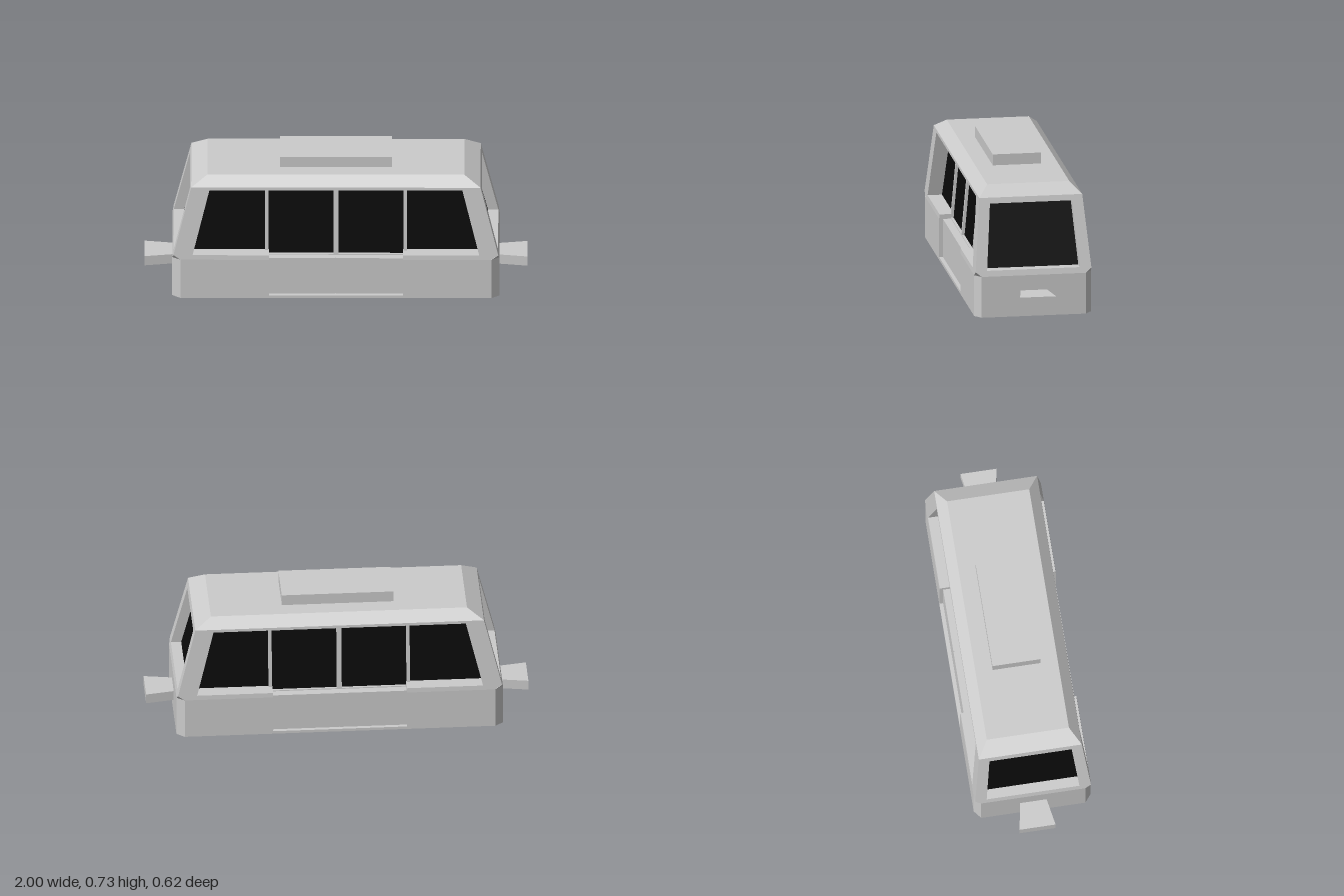
import * as THREE from 'three';
import { ConvexGeometry } from 'three/addons/geometries/ConvexGeometry.js';

const grey = new THREE.MeshStandardMaterial({ color: 0xcccccc, flatShading: true });
const black = new THREE.MeshStandardMaterial({ color: 0x0a0a0a, flatShading: true });

const SILL = 0.22, EAVE = 0.62, ROOF = 0.67;
const side = { low: 0.308, high: 0.272 }; // half width at sill and eave
const end = { low: 0.854, high: 0.755 };  // half length at sill and eave
const reach = (wall, y) => wall.low + (wall.high - wall.low) * (y - SILL) / (EAVE - SILL);

function add(parent, name, geometry, material = grey) {
  const mesh = new THREE.Mesh(geometry, material);
  mesh.name = name;
  parent.add(mesh);
  return mesh;
}

function shapeOf(points, holes = []) {
  const toVectors = (list) => list.map(([x, y]) => new THREE.Vector2(x, y));
  const shape = new THREE.Shape(toVectors(points));
  holes.forEach((h) => shape.holes.push(new THREE.Path(toVectors(h))));
  return shape;
}

// Left-right symmetric outline from its right half (listed bottom to top)
const mirrored = (half) => [...half, ...half.map(([x, y]) => [-x, y]).reverse()];

// Panel that leans with its wall, inset from the outer face and mitred against the crossing wall
function leaningPanel(shape, wall, cross, inset, depth) {
  const g = new THREE.ExtrudeGeometry(shape, { depth, bevelEnabled: false });
  const p = g.attributes.position;
  for (let i = 0; i < p.count; i++) {
    const y = p.getY(i), sunk = inset + depth - p.getZ(i);
    const limit = reach(cross, y) - sunk;
    p.setX(i, THREE.MathUtils.clamp(p.getX(i), -limit, limit));
    p.setZ(i, reach(wall, y) - sunk);
  }
  g.computeVertexNormals();
  return g;
}

// Plan outline raised from y0 to y1
function raised(points, y0, y1) {
  const g = new THREE.ExtrudeGeometry(shapeOf(points), { depth: y1 - y0, bevelEnabled: false });
  return g.rotateX(-Math.PI / 2).translate(0, y0, 0);
}

function sideWall() {
  const group = new THREE.Group();
  group.name = 'sideWall';
  // Window band, with a step down at the doors
  const wall = mirrored([[0.35, 0.22], [0.81, 0.22], [reach(end, 0.245), 0.245], [0.755, 0.62]]);
  wall.push([-0.35, 0.245], [-0.748, 0.245], [-0.66, 0.605], [0.66, 0.605], [0.748, 0.245], [0.35, 0.245]);
  add(group, 'sideWindowSurround', leaningPanel(shapeOf(wall), side, end, 0, 0.078));
  // Deep-set door window frame with two panes
  const pane = (a, b) => [[a, 0.225], [b, 0.225], [b, 0.588], [a, 0.588]];
  const frame = shapeOf(mirrored([[0.37, 0.215], [0.37, 0.61]]), [pane(0.013, 0.352), pane(-0.352, -0.013)]);
  add(group, 'doorWindowFrame', leaningPanel(frame, side, end, 0.062, 0.016));
  const glass = shapeOf(mirrored([[0.8, 0.215], [0.7, 0.62]]));
  add(group, 'sideGlass', leaningPanel(glass, side, end, 0.076, 0.006), black);
  return group;
}

function endWall() {
  const group = new THREE.Group();
  group.name = 'endWall';
  const wall = mirrored([[0.275, 0.22], [reach(side, 0.245), 0.245], [0.272, 0.62]]);
  const opening = mirrored([[0.245, 0.25], [0.217, 0.59]]);
  add(group, 'endWindowSurround', leaningPanel(shapeOf(wall, [opening]), end, side, 0, 0.055));
  const glass = shapeOf(mirrored([[0.255, 0.23], [0.228, 0.61]]));
  add(group, 'endGlass', leaningPanel(glass, end, side, 0.054, 0.006), black);
  return group;
}

export function createModel() {
  const model = new THREE.Group();
  model.name = 'railCar';

  // Lower body: chamfered corners, shallow door recess with a fine centre seam
  const corner = [[0.812, 0.308], [0.854, 0.275]];
  const recess = [[0.001, 0.282], [0.001, 0.288], [0.35, 0.288], [0.35, 0.308]];
  const ring = (quarter) => {
    const right = [...quarter, ...quarter.map(([x, z]) => [x, -z]).reverse()];
    return [...right, ...right.map(([x, z]) => [-x, z]).reverse()];
  };
  add(model, 'floorPlinth', raised(ring(corner), 0, 0.015));
  add(model, 'lowerBody', raised(ring([...recess, ...corner]), 0.015, SILL));

  // Leaning walls, both sides and both ends
  for (let i = 0; i < 2; i++) {
    const s = sideWall();
    s.rotation.y = i * Math.PI;
    const e = endWall();
    e.rotation.y = Math.PI / 2 + i * Math.PI;
    model.add(s, e);
  }

  // Small gussets where the chamfered corners meet the sharp upper corners
  for (const sx of [-1, 1]) for (const sz of [-1, 1]) {
    const points = [
      [0.812, 0.22, 0.308], [0.854, 0.22, 0.275],
      [reach(end, 0.245), 0.245, reach(side, 0.245)], [0.81, 0.24, 0.275],
    ].map(([x, y, z]) => new THREE.Vector3(sx * x, y, sz * z));
    add(model, 'cornerGusset', new ConvexGeometry(points));
  }

  // Roof with sloping edges
  const roofPoints = [];
  for (const [x, y, z] of [[0.755, EAVE, 0.272], [0.67, ROOF, 0.217]]) {
    for (const sx of [-1, 1]) for (const sz of [-1, 1]) {
      roofPoints.push(new THREE.Vector3(sx * x, y, sz * z));
    }
  }
  add(model, 'roof', new ConvexGeometry(roofPoints));
  add(model, 'roofUnit', new THREE.BoxGeometry(0.585, 0.06, 0.254)).position.y = 0.699;

  // Couplers flaring outwards at both ends
  const flare = [[0.84, -0.068], [1, -0.095], [1, 0.095], [0.84, 0.068]];
  for (let i = 0; i < 2; i++) {
    add(model, 'coupler', raised(flare, 0.086, 0.139)).rotation.y = i * Math.PI;
  }
  return model;
}
